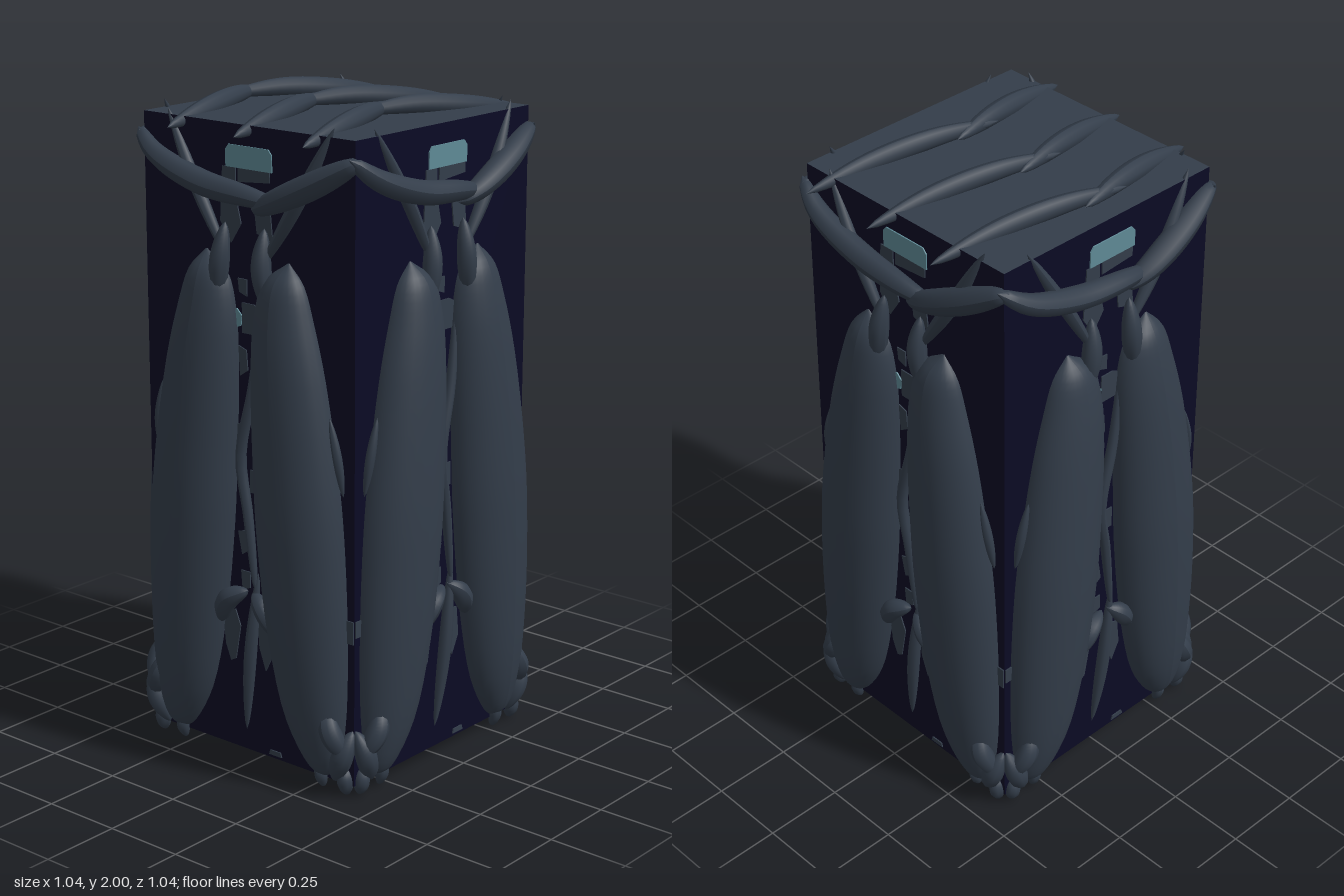
import * as THREE from 'three';

const slate = new THREE.MeshStandardMaterial({ color: 0x333d4a });
slate.name = 'slate';
const navy = new THREE.MeshStandardMaterial({ color: 0x0b0a24 });
navy.name = 'navy';
const teal = new THREE.MeshStandardMaterial({ color: 0x5f8a96 });
teal.name = 'teal';

const vec = (p) => new THREE.Vector3(...p);

function add(parent, name, geometry, material) {
  const mesh = new THREE.Mesh(geometry, material);
  mesh.name = name;
  parent.add(mesh);
  return mesh;
}

// Smooth stem through a few points, thickest in the middle and pointed at the ends
function spindle(points, radius, blunt = 0.6) {
  const curve = new THREE.CatmullRomCurve3(points.map(vec));
  const rows = 20, sides = 10;
  const geometry = new THREE.TubeGeometry(curve, rows, radius, sides);
  const pos = geometry.attributes.position;
  const v = new THREE.Vector3();
  for (let i = 0; i < pos.count; i++) {
    const t = Math.floor(i / (sides + 1)) / rows;
    const k = Math.max(0.01, Math.pow(Math.max(0, Math.sin(Math.PI * t)), blunt));
    const c = curve.getPointAt(t);
    v.fromBufferAttribute(pos, i).sub(c).multiplyScalar(k).add(c);
    pos.setXYZ(i, v.x, v.y, v.z);
  }
  geometry.computeVertexNormals();
  return geometry;
}

// Long leaning pod: each row gives inner x, height and outer x
function podGeometry(side) {
  const curve = new THREE.CatmullRomCurve3([
    [0.155, 1.57, 0.16], [0.075, 1.51, 0.215], [0.045, 1.41, 0.25], [0.037, 1.24, 0.295],
    [0.047, 0.95, 0.345], [0.06, 0.75, 0.365], [0.1, 0.44, 0.376], [0.16, 0.2, 0.366],
    [0.235, 0.07, 0.335], [0.28, 0.035, 0.285],
  ].map(vec));
  const rows = 36;
  const geometry = new THREE.CylinderGeometry(1, 1, 1, 28, rows, true);
  const pos = geometry.attributes.position;
  for (let i = 0; i < pos.count; i++) {
    const p = curve.getPoint(Math.min(1, Math.max(0, 0.5 - pos.getY(i))));
    const half = Math.max(0.001, (p.z - p.x) / 2);
    pos.setXYZ(i, side * (p.x + p.z) / 2 + pos.getX(i) * half, p.y, 0.4 + pos.getZ(i) * half * 0.79);
  }
  geometry.computeVertexNormals();
  return geometry;
}

// Thin plate lying on the front wall
function plate(points) {
  const shape = new THREE.Shape(points.map(([x, y]) => new THREE.Vector2(x, y)));
  const geometry = new THREE.ExtrudeGeometry(shape, { depth: 0.005, bevelEnabled: false });
  return geometry.translate(0, 0, 0.399);
}

function createSide() {
  const side = new THREE.Group();
  side.name = 'side';

  for (const s of [-1, 1]) {
    add(side, 'pod', podGeometry(s), slate);
    // Foot leaves and root tips at the lower corners
    add(side, 'footLeaf', spindle([[s * 0.315, 0.285, 0.425], [s * 0.345, 0.21, 0.445], [s * 0.39, 0.12, 0.415]], 0.033), slate);
    add(side, 'footLeaf', spindle([[s * 0.395, 0.21, 0.4], [s * 0.375, 0.13, 0.425], [s * 0.335, 0.04, 0.41]], 0.033), slate);
    add(side, 'rootTip', spindle([[s * 0.365, 0.09, 0.4], [s * 0.37, 0.05, 0.405], [s * 0.37, 0, 0.395]], 0.025), slate);
    add(side, 'rootTip', spindle([[s * 0.27, 0.09, 0.405], [s * 0.28, 0.05, 0.41], [s * 0.28, 0, 0.395]], 0.02), slate);
    // Slim leaf along the outer edge of the pod
    add(side, 'edgeLeaf', spindle([[s * 0.325, 1.15, 0.42], [s * 0.35, 1.03, 0.415], [s * 0.36, 0.92, 0.402]], 0.014), slate);
  }

  // Crossing twigs above the pods, with hanging buds
  add(side, 'twig', spindle([[-0.31, 1.965, 0.393], [-0.19, 1.76, 0.41], [-0.06, 1.54, 0.41]], 0.02), slate);
  add(side, 'twig', spindle([[0.32, 1.97, 0.393], [0.2, 1.75, 0.41], [0.06, 1.54, 0.41]], 0.022), slate);
  add(side, 'bud', spindle([[-0.075, 1.66, 0.41], [-0.085, 1.55, 0.425], [-0.1, 1.42, 0.42]], 0.03), slate);
  add(side, 'bud', spindle([[0.075, 1.66, 0.41], [0.075, 1.55, 0.425], [0.09, 1.42, 0.42]], 0.03), slate);

  // Sagging garland in two overlapping lengths
  add(side, 'garland', spindle([[-0.425, 1.895, 0.4], [-0.33, 1.83, 0.425], [-0.15, 1.77, 0.43], [0.03, 1.75, 0.432], [0.14, 1.735, 0.42]], 0.037, 0.35), slate);
  add(side, 'garland', spindle([[0.04, 1.71, 0.42], [0.13, 1.745, 0.432], [0.27, 1.81, 0.425], [0.42, 1.89, 0.4]], 0.04, 0.35), slate);

  // Wandering central stem and its two leaves
  add(side, 'stem', spindle([[0.055, 1.4, 0.405], [0.025, 1.18, 0.412], [-0.02, 0.97, 0.415], [0.005, 0.8, 0.415], [0.035, 0.55, 0.415]], 0.017, 0.35), slate);
  add(side, 'stem', spindle([[0.04, 0.62, 0.41], [0.01, 0.36, 0.415], [-0.02, 0.1, 0.402]], 0.02), slate);
  add(side, 'stemLeaf', spindle([[0, 0.555, 0.412], [-0.07, 0.515, 0.425], [-0.115, 0.43, 0.41]], 0.033), slate);
  add(side, 'stemLeaf', spindle([[0.02, 0.555, 0.412], [0.07, 0.515, 0.425], [0.12, 0.43, 0.41]], 0.031), slate);

  // Painted panels and worn patches
  add(side, 'window', plate([[-0.077, 1.82], [0.098, 1.82], [0.098, 1.87], [0.085, 1.885], [-0.065, 1.885], [-0.077, 1.87]]), teal);
  add(side, 'lamp', plate([[-0.05, 1.35], [-0.025, 1.36], [-0.02, 1.39], [-0.04, 1.41], [-0.06, 1.4]]), teal);
  const patches = [
    [[-0.09, 1.82], [-0.04, 1.82], [-0.04, 1.74], [-0.02, 1.66], [-0.06, 1.6], [-0.1, 1.66]],
    [[-0.03, 1.82], [0.09, 1.82], [0.09, 1.79], [-0.03, 1.78]],
    [[0.03, 1.72], [0.09, 1.72], [0.1, 1.62], [0.04, 1.64]],
    [[-0.035, 1.5], [0, 1.5], [0, 1.45], [-0.03, 1.46]],
    [[-0.02, 1.34], [0.04, 1.34], [0.045, 1.42], [0.025, 1.43], [-0.02, 1.43]],
    [[-0.035, 1.3], [-0.005, 1.29], [0, 1.23], [-0.03, 1.21]],
    [[-0.05, 1.06], [-0.02, 1.07], [-0.025, 0.98], [-0.045, 0.97]],
    [[0.005, 0.93], [0.04, 0.93], [0.04, 0.86], [0.005, 0.86]],
    [[-0.045, 0.73], [-0.01, 0.74], [0, 0.68], [-0.03, 0.66]],
    [[-0.035, 0.61], [0, 0.61], [0, 0.56], [-0.03, 0.55]],
    [[-0.11, 0.45], [-0.06, 0.48], [-0.04, 0.43], [-0.06, 0.32], [-0.08, 0.31], [-0.1, 0.36]],
    [[0.03, 0.47], [0.08, 0.46], [0.09, 0.37], [0.06, 0.31], [0.035, 0.38]],
    [[-0.398, 0.5], [-0.372, 0.5], [-0.372, 0.55], [-0.398, 0.55]],
    [[0.365, 0.48], [0.398, 0.48], [0.398, 0.55], [0.365, 0.55]],
    [[0.07, 0.045], [0.12, 0.045], [0.115, 0.06], [0.075, 0.06]],
  ];
  for (const p of patches) add(side, 'patch', plate(p), slate);
  return side;
}

export function createModel() {
  const model = new THREE.Group();
  model.name = 'overgrownCabinet';

  // Cabinet with dark walls and slate top and base
  const cabinet = new THREE.BoxGeometry(0.8, 1.91, 0.8).translate(0, 0.99, 0);
  add(model, 'cabinet', cabinet, [navy, navy, slate, slate, navy, navy]);

  // The same growth climbs all four walls
  for (let i = 0; i < 4; i++) {
    const side = createSide();
    side.rotation.y = i * Math.PI / 2;
    model.add(side);
  }

  // Three bent vines arching over the top
  for (let i = 0; i < 3; i++) {
    const vine = new THREE.Group();
    vine.name = 'topVine';
    vine.position.x = i * 0.255;
    add(vine, 'vineBack', spindle([[-0.204, 1.92, -0.485], [-0.235, 1.95, -0.27], [-0.285, 1.97, -0.07], [-0.335, 1.965, 0.13]], 0.03), slate);
    add(vine, 'vineFront', spindle([[-0.335, 1.965, -0.03], [-0.305, 1.966, 0.1], [-0.27, 1.95, 0.27], [-0.243, 1.92, 0.465]], 0.032), slate);
    model.add(vine);
  }
  return model;
}
